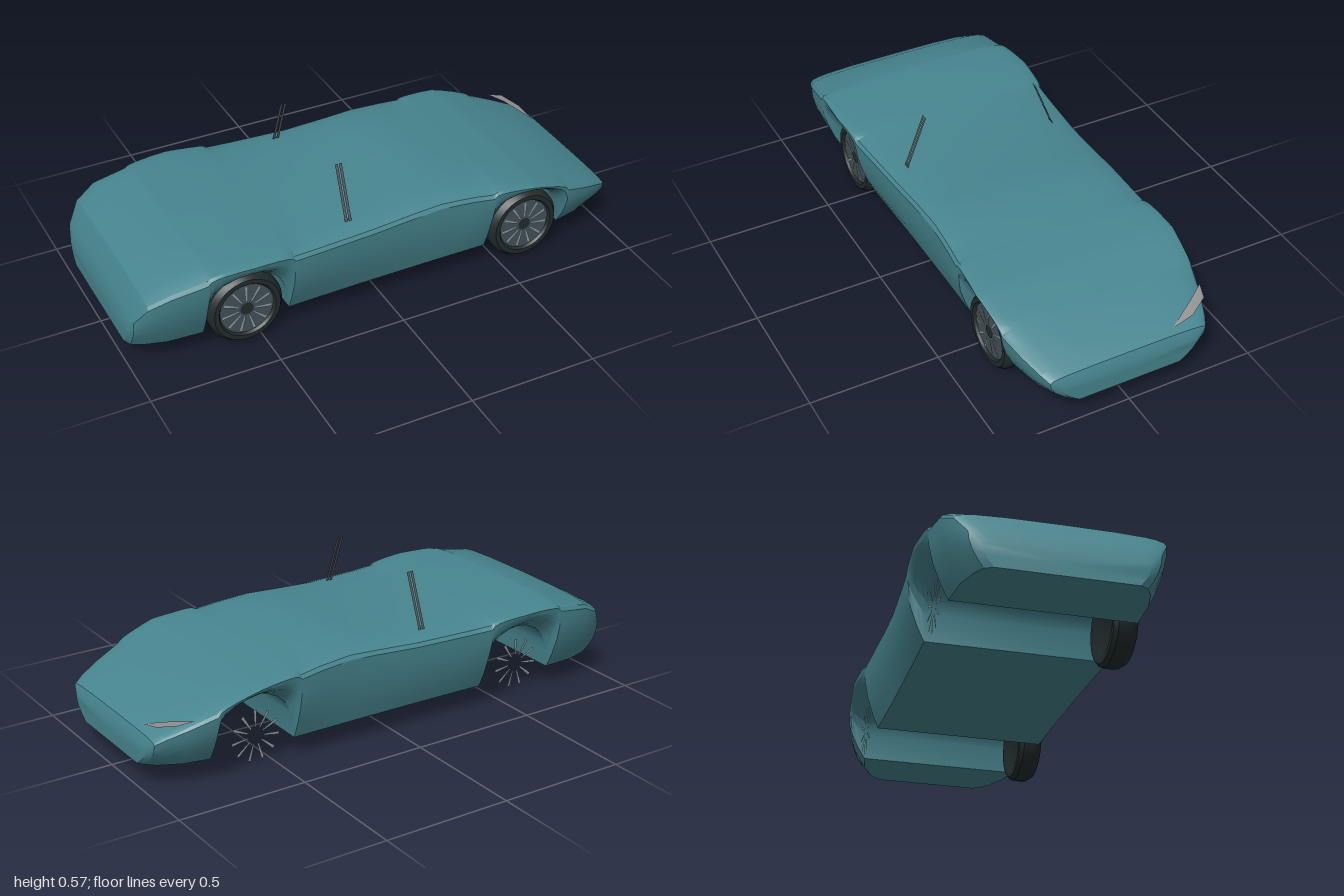
import * as THREE from 'three';
import { toCreasedNormals } from 'three/addons/utils/BufferGeometryUtils.js';

const mat = (name, color, side = THREE.FrontSide) => {
  const m = new THREE.MeshStandardMaterial({ color, side });
  m.name = name;
  return m;
};

// Body stations: x, roof height, half width, width of the floor relative to the half width
const STATIONS = [
  [-1, 0.18, 0.29, 0.86], [-0.985, 0.24, 0.335, 0.84], [-0.94, 0.315, 0.372, 0.82],
  [-0.86, 0.36, 0.4, 0.82], [-0.72, 0.384, 0.41, 0.82], [-0.55, 0.383, 0.42, 0.82],
  [-0.3, 0.378, 0.402, 0.84], [-0.07, 0.378, 0.387, 0.86], [0.1, 0.389, 0.381, 0.87],
  [0.22, 0.397, 0.38, 0.87], [0.35, 0.387, 0.385, 0.86], [0.48, 0.37, 0.394, 0.84],
  [0.61, 0.35, 0.402, 0.82], [0.78, 0.3, 0.385, 0.82], [0.87, 0.265, 0.36, 0.82],
  [0.95, 0.232, 0.33, 0.78], [0.985, 0.212, 0.312, 0.72], [1, 0.18, 0.27, 0.75],
];
const WHEEL_X = [-0.56, 0.605];
const WHEEL_Y = 0.148;
const FLOOR = 0.09;

// Half of a wheel arch: distance from its middle, height
const ARCH = [[0, 0.3], [0.05, 0.292], [0.1, 0.268], [0.135, 0.235], [0.155, 0.19], [0.168, FLOOR]];

const lerpTable = (table, x, col) => {
  let i = 1;
  while (i < table.length - 1 && table[i][0] < x) i++;
  const a = table[i - 1], b = table[i];
  return THREE.MathUtils.lerp(a[col], b[col], (x - a[0]) / (b[0] - a[0]));
};

const floorHeight = (x) => {
  for (const w of WHEEL_X) {
    const d = Math.abs(x - w);
    if (d < 0.168) return lerpTable(ARCH, d, 1);
  }
  return FLOOR;
};

// Cross-section from floor middle, round the left side, over the top and back
function section(x) {
  const top = lerpTable(STATIONS, x, 1), w = lerpTable(STATIONS, x, 2), k = lerpTable(STATIONS, x, 3);
  const base = floorHeight(x);
  const flank = (s) => k + (1 - k) * s;
  const half = [
    [flank(0), 0], [flank(0.38), 0.2], [flank(0.75), 0.45], [flank(0.95), 0.68],
    [1, 0.87], [0.975, 0.92], [0.9, 0.955], [0.8, 0.975], [0.5, 0.995],
  ].map(([z, t]) => [z * w, base + t * (top - base)]);
  const other = half.map(([z, y]) => [-z, y]).reverse();
  return [[0, base], ...half, [0, top], ...other].map(([z, y]) => [x, y, z]);
}

function bodyGeometry() {
  const xs = STATIONS.map((s) => s[0]);
  for (const w of WHEEL_X) for (const [d] of ARCH) xs.push(w - d, w + d);
  xs.sort((a, b) => a - b);
  const unique = xs.filter((x, i) => i === 0 || x - xs[i - 1] > 0.001);
  const rings = unique.map(section);
  const n = rings[0].length;
  const pos = [];
  const tri = (a, b, c) => pos.push(...a, ...b, ...c);
  for (let i = 0; i < rings.length - 1; i++) {
    for (let j = 0; j < n; j++) {
      const a = rings[i][j], b = rings[i + 1][j];
      const c = rings[i + 1][(j + 1) % n], d = rings[i][(j + 1) % n];
      tri(a, b, c);
      tri(a, c, d);
    }
  }
  // Tail and nose caps
  const tail = rings[0], nose = rings[rings.length - 1];
  for (let j = 0; j < n; j++) {
    const k = (j + 1) % n;
    tri([-1, 0.135, 0], tail[j], tail[k]);
    tri([1, 0.135, 0], nose[k], nose[j]);
  }
  const g = new THREE.BufferGeometry();
  g.setAttribute('position', new THREE.Float32BufferAttribute(pos, 3));
  return toCreasedNormals(g, 0.45);
}

// Flat convex panel through the given corners
function panel(points) {
  const g = new THREE.BufferGeometry();
  g.setAttribute('position', new THREE.Float32BufferAttribute(points.flat(), 3));
  const index = [];
  for (let i = 1; i < points.length - 1; i++) index.push(0, i, i + 1);
  g.setIndex(index);
  g.computeVertexNormals();
  return g;
}

export function createModel() {
  const car = new THREE.Group();
  car.name = 'car';
  const paint = mat('teal paint', 0x47858f);
  const rubber = mat('tyre rubber', 0x222b2c);
  const rimGrey = mat('rim grey', 0x43525a);
  const spokeGrey = mat('spoke grey', 0x8c9aa0, THREE.DoubleSide);
  const pillarGrey = mat('pillar grey', 0x575b5e, THREE.DoubleSide);
  const lampGrey = mat('lamp grey', 0x8e8e8e, THREE.DoubleSide);

  const add = (parent, name, geometry, material) => {
    const m = new THREE.Mesh(geometry, material);
    m.name = name;
    parent.add(m);
    return m;
  };

  add(car, 'body', bodyGeometry(), paint);

  // Tyre profile: radius, offset along the axle
  const profile = [
    [0, -0.04], [0.1, -0.04], [0.11, -0.045], [0.132, -0.045], [0.145, -0.03],
    [0.146, 0], [0.145, 0.022], [0.13, 0.044], [0.112, 0.044], [0.105, 0.034],
  ].map(([r, y]) => new THREE.Vector2(r, y));
  const tyre = toCreasedNormals(new THREE.LatheGeometry(profile, 32), 0.5);
  tyre.rotateX(Math.PI / 2);

  // Spokes as thin tapering blades
  const spokes = (parent, z) => {
    const count = 11;
    for (let i = 0; i < count; i++) {
      const blade = panel([[-0.003, 0.032, 0], [0.003, 0.032, 0], [0.006, 0.098, 0], [-0.006, 0.098, 0]]);
      const s = add(parent, 'spoke', blade, spokeGrey);
      s.position.z = z;
      s.rotation.z = (i * 2 * Math.PI) / count;
    }
  };

  for (const x of WHEEL_X) {
    const wheel = new THREE.Group();
    wheel.name = 'wheel';
    wheel.position.set(x, WHEEL_Y - 0.002, 0.311);
    add(wheel, 'tyre', tyre, rubber);
    add(wheel, 'rim', new THREE.CircleGeometry(0.106, 32), rimGrey).position.z = 0.034;
    add(wheel, 'hub', new THREE.CircleGeometry(0.026, 16), rubber).position.z = 0.036;
    spokes(wheel, 0.038);
    car.add(wheel);

    // Bare spokes on the far side
    const star = new THREE.Group();
    star.name = 'spokeStar';
    star.position.set(x, WHEEL_Y, -0.345);
    spokes(star, 0);
    car.add(star);
  }

  // Pairs of flat pillars leaning inwards
  for (const side of [1, -1]) {
    for (const x of [-0.143, -0.127]) {
      const h = 0.0055;
      add(car, 'pillar', panel([
        [x - h, 0.372, side * 0.312], [x + h, 0.372, side * 0.312],
        [x + h, 0.575, side * 0.232], [x - h, 0.575, side * 0.232],
      ]), pillarGrey);
    }
  }

  // Single headlamp cover on the right side of the nose
  add(car, 'headlamp', panel([
    [0.9, 0.262, -0.3], [0.855, 0.275, -0.365], [0.915, 0.264, -0.345],
    [0.955, 0.243, -0.275], [0.965, 0.225, -0.185],
  ]), lampGrey);

  return car;
}
